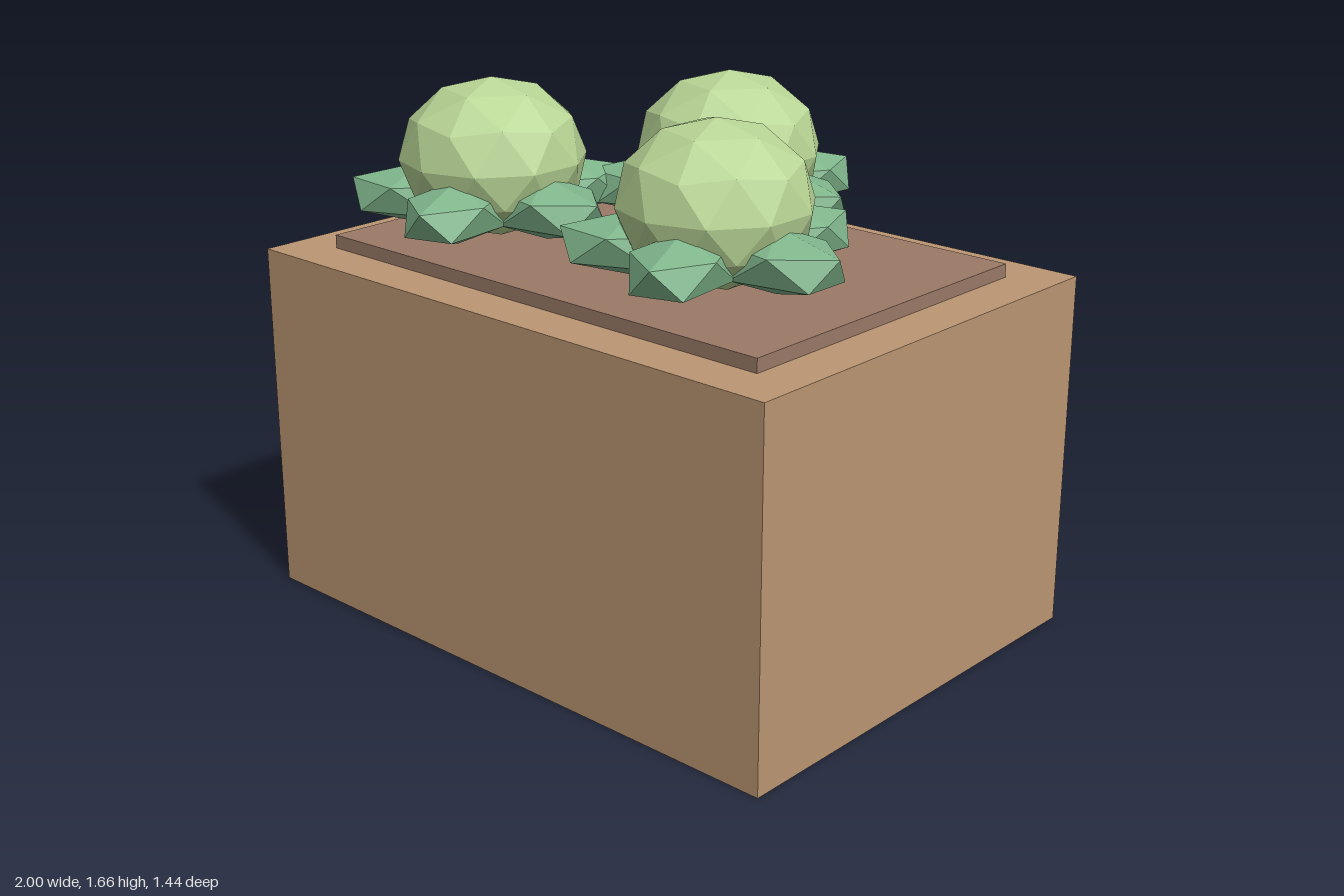
import * as THREE from 'three';

const mat = (color) => new THREE.MeshStandardMaterial({ color, flatShading: true });

// Low-poly ball with one corner on the y axis and an upper corner towards +x
function poleBall(detail) {
  const g = new THREE.IcosahedronGeometry(1, detail);
  g.rotateZ(-Math.atan2(0.5257, 0.8507));
  return g;
}

function addMesh(parent, name, geometry, material, x, y, z) {
  const mesh = new THREE.Mesh(geometry, material);
  mesh.name = name;
  mesh.position.set(x, y, z);
  parent.add(mesh);
  return mesh;
}

export function createModel() {
  const model = new THREE.Group();
  model.name = 'cabbageCrate';

  const headMat = mat(0xb9d696);
  const leafMat = mat(0x80b68c);
  const headGeo = poleBall(1);
  const leafGeo = poleBall(0);

  // Crate and the soil bed on top
  addMesh(model, 'crate', new THREE.BoxGeometry(2, 1.12, 1.44), mat(0xbb9673), 0, 0.56, 0);
  addMesh(model, 'soil', new THREE.BoxGeometry(1.7, 0.08, 1.14), mat(0x9b7a68), 0, 1.122, 0);

  // Three cabbages, each a squashed head ringed by five outer leaves
  for (const [x, z] of [[-0.46, 0.26], [0, -0.3], [0.4, 0.22]]) {
    const cabbage = new THREE.Group();
    cabbage.name = 'cabbage';
    cabbage.position.set(x, 0, z);
    addMesh(cabbage, 'head', headGeo, headMat, 0, 1.422, 0).scale.set(0.287, 0.243, 0.287);
    for (let i = 0; i < 5; i++) {
      const a = (i * Math.PI * 2) / 5;
      const leaf = addMesh(cabbage, 'leaf', leafGeo, leafMat, 0.225 * Math.cos(a), 1.3, -0.225 * Math.sin(a));
      leaf.scale.set(0.24, 0.096, 0.15);
      leaf.rotation.y = a;
    }
    model.add(cabbage);
  }
  return model;
}
